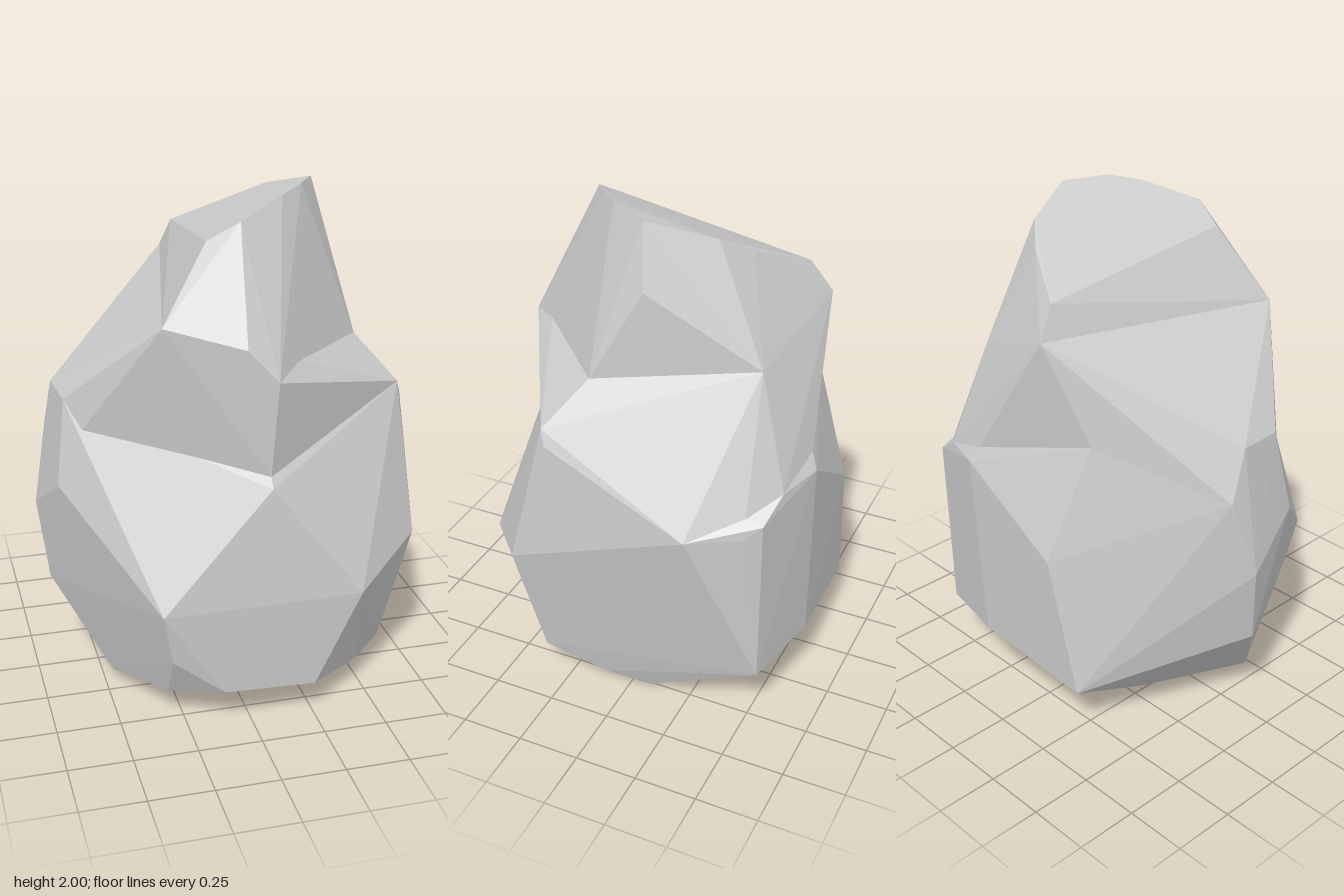
import * as THREE from 'three';
import { ConvexGeometry } from 'three/addons/geometries/ConvexGeometry.js';

// A chipped boulder: three stacked convex lumps that share the corners of their joints,
// so that the shallow notches between them stay open.

const material = new THREE.MeshStandardMaterial({ color: 0xcccccc, flatShading: true });

function lump(name, ...cornerGroups) {
  const points = cornerGroups.flat().map((c) => new THREE.Vector3(...c));
  const mesh = new THREE.Mesh(new ConvexGeometry(points), material);
  mesh.name = name;
  return mesh;
}

// narrow, tilted top
const crownCorners = [
  [0.39, 1.99, -0.02], [0.30, 2.00, 0.14], [0.20, 1.98, 0.23], [0.01, 1.92, 0.35],
  [-0.11, 1.85, 0.32], [-0.20, 1.69, 0.38], [0.28, 1.92, -0.26], [0.17, 1.85, -0.35],
  [-0.06, 1.74, -0.48], [0.46, 1.75, -0.05],
];

// joint between crown and shoulder
const neckCorners = [
  [0.53, 1.40, 0.14], [0.09, 1.39, 0.60], [-0.02, 1.51, 0.57],
  [-0.30, 1.57, 0.43], [-0.09, 1.62, -0.56], [0.34, 1.47, -0.46],
];

// joint between shoulder and base
const waistCorners = [
  [0.67, 1.23, 0.27], [0.69, 1.17, 0.25], [0.70, 0.91, -0.31], [0.59, 0.91, -0.50],
  [0.43, 1.04, -0.59], [0.22, 1.11, -0.62], [-0.25, 1.23, -0.47], [-0.66, 1.03, -0.15],
  [-0.64, 1.23, -0.07], [-0.62, 1.22, 0.12], [-0.61, 1.04, 0.16], [0.07, 1.02, 0.58],
];

// widest belt of the base
const beltCorners = [
  [0.07, 0.98, 0.605], [0.42, 0.53, 0.65], [0.71, 0.64, 0.41], [0.55, 0.96, -0.56],
  [0.25, 1.05, -0.65], [-0.17, 0.77, -0.63], [-0.72, 0.72, -0.07],
  [-0.66, 0.89, 0.18], [-0.35, 0.51, 0.625],
];

// bevelled underside
const footCorners = [
  [-0.31, 0.30, 0.60], [-0.11, 0.15, 0.615], [0.25, 0.14, 0.62], [0.48, 0.11, 0.44],
  [0.61, 0.15, 0.34], [0.56, 0.05, 0.10], [0.52, 0.01, -0.08], [0.54, 0.25, -0.55],
  [0.22, 0.28, -0.63], [-0.29, 0.21, -0.60], [-0.41, 0.37, -0.40], [-0.68, 0.40, -0.03],
  [-0.47, 0.05, 0.18], [-0.31, 0.12, 0.50], [-0.24, 0.00, -0.18],
];

export function createModel() {
  const boulder = new THREE.Group();
  boulder.name = 'boulder';
  boulder.add(
    lump('crown', crownCorners, neckCorners),
    lump('shoulder', neckCorners, waistCorners),
    lump('base', waistCorners, beltCorners, footCorners),
  );
  return boulder;
}
